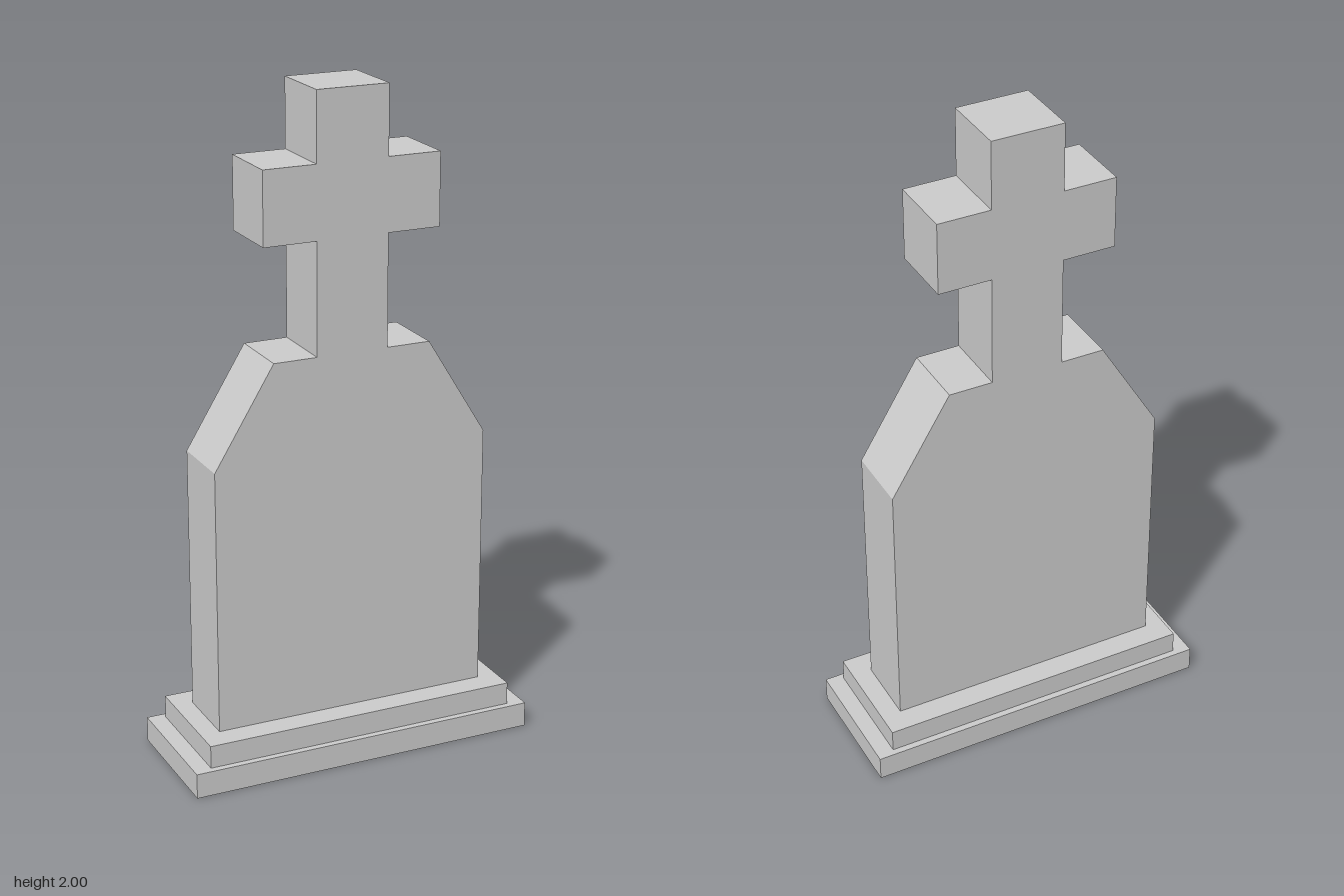
import * as THREE from 'three';

const material = new THREE.MeshStandardMaterial({ color: 0xcccccc, flatShading: true });
const shellMaterial = new THREE.MeshStandardMaterial({ color: 0xcccccc, flatShading: true, side: THREE.DoubleSide });

// Box standing on height y; an open box has no underside
function block(name, w, h, d, y, open = false) {
  const geometry = new THREE.BoxGeometry(w, h, d);
  if (open) {
    const index = Array.from(geometry.index.array);
    index.splice(18, 6);
    geometry.setIndex(index);
    geometry.clearGroups();
  }
  const mesh = new THREE.Mesh(geometry, open ? shellMaterial : material);
  mesh.name = name;
  mesh.position.y = y + h / 2;
  return mesh;
}

export function createModel() {
  const group = new THREE.Group();
  group.name = 'gravestone';

  // Stepped plinth, hollow underneath with an inner footing rim
  group.add(block('lowerStep', 1.076, 0.076, 0.4, 0, true));
  group.add(block('upperStep', 0.972, 0.069, 0.36, 0.076));
  group.add(block('footingRim', 0.852, 0.076, 0.21, 0, true));

  // Headstone and cross in one mirrored outline
  const half = [
    [0.426, 0.145], [0.426, 0.945], [0.243, 1.243], [0.11, 1.243],
    [0.11, 1.578], [0.271, 1.578], [0.271, 1.795], [0.11, 1.795], [0.11, 2],
  ];
  const mirrored = half.map(([x, y]) => [-x, y]).reverse();
  const outline = new THREE.Shape([...half, ...mirrored].map(([x, y]) => new THREE.Vector2(x, y)));
  const depth = 0.21;
  const geometry = new THREE.ExtrudeGeometry(outline, { depth, bevelEnabled: false });
  geometry.translate(0, 0, -depth / 2);
  const headstone = new THREE.Mesh(geometry, material);
  headstone.name = 'headstoneWithCross';
  headstone.position.set(-0.001, 0, -0.001);
  group.add(headstone);

  return group;
}
